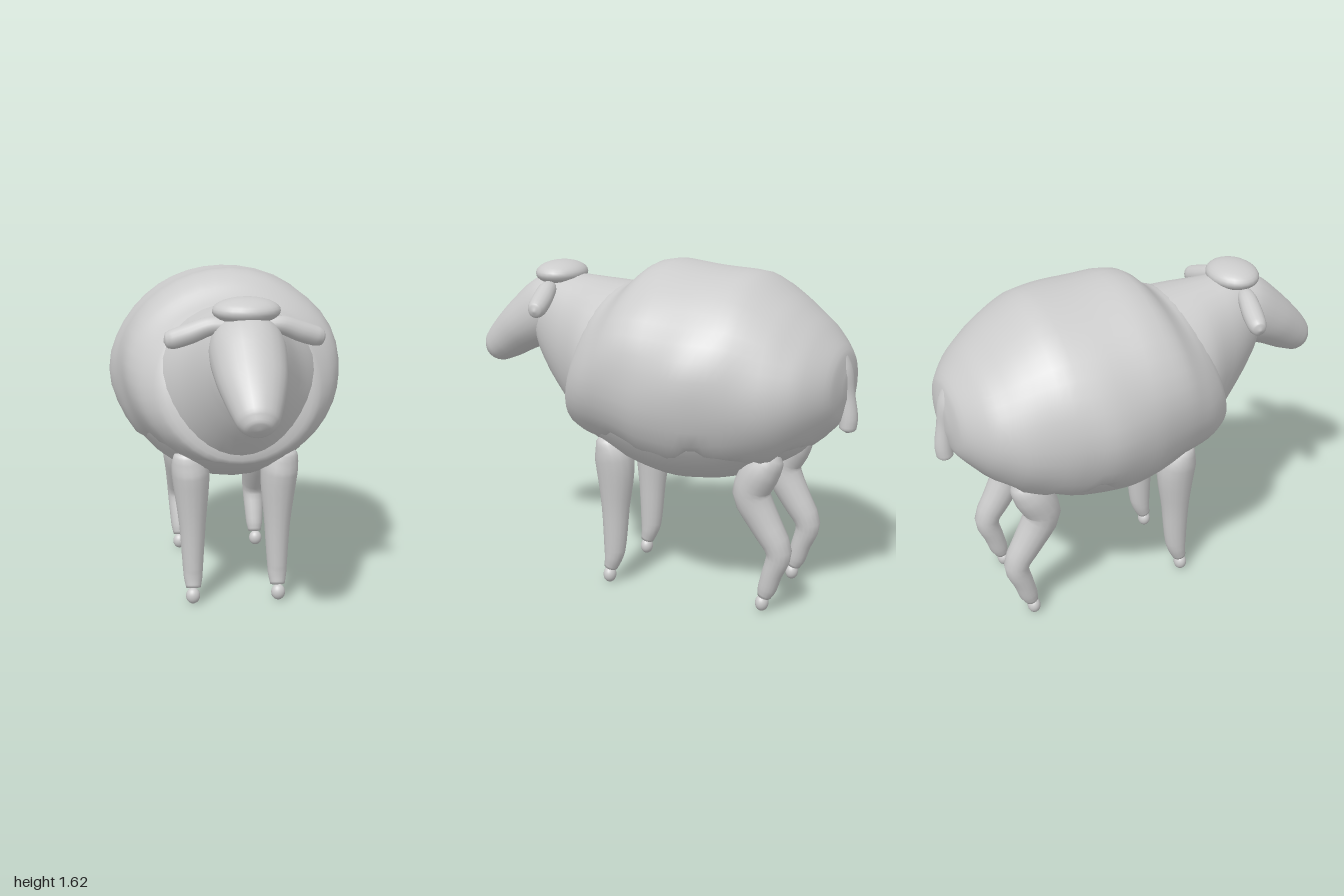
import * as THREE from 'three';

const material = new THREE.MeshStandardMaterial({ color: 0xcccccc });

function part(name, geometry) {
  const mesh = new THREE.Mesh(geometry, material);
  mesh.name = name;
  return mesh;
}

// Skins elliptical rings along a smooth path of stations [x, y, z, rSide, rOther].
// side: the direction of the first radius; dir: fixed ring normal; deform: moves each vertex.
function loft(stations, { steps = 24, sides = 20, side = [1, 0, 0], dir = null, deform = null } = {}) {
  const path = new THREE.CatmullRomCurve3(stations.map(s => new THREE.Vector3(s[0], s[1], s[2])));
  const radii = new THREE.CatmullRomCurve3(stations.map(s => new THREE.Vector3(s[3], s[4], 0)));
  const pos = [], index = [];
  const add = v => { if (deform) deform(v); pos.push(v.x, v.y, v.z); };
  for (let i = 0; i <= steps; i++) {
    const u = i / steps, c = path.getPoint(u), r = radii.getPoint(u);
    const t = dir ? new THREE.Vector3(...dir) : path.getTangent(u);
    const n = t.clone().cross(new THREE.Vector3(...side)).normalize();
    const s = n.clone().cross(t);
    for (let j = 0; j < sides; j++) {
      const a = j / sides * Math.PI * 2;
      add(c.clone().addScaledVector(s, Math.cos(a) * r.x).addScaledVector(n, Math.sin(a) * r.y));
    }
  }
  add(path.getPoint(0));
  add(path.getPoint(1));
  const first = (steps + 1) * sides, last = first + 1;
  for (let j = 0; j < sides; j++) {
    const k = (j + 1) % sides;
    for (let i = 0; i < steps; i++) {
      const a = i * sides + j, b = i * sides + k;
      index.push(a, b, a + sides, b, b + sides, a + sides);
    }
    index.push(first, k, j, last, steps * sides + j, steps * sides + k);
  }
  const g = new THREE.BufferGeometry();
  g.setAttribute('position', new THREE.Float32BufferAttribute(pos, 3));
  g.setIndex(index);
  g.computeVertexNormals();
  return g;
}

function ellipsoid(x, y, z, rx, ry, rz) {
  return new THREE.SphereGeometry(1, 24, 16).scale(rx, ry, rz).translate(x, y, z);
}

// Turns [z, bottom, top, halfWidth] into loft stations
const sections = rows => rows.map(([z, b, t, w]) => [0, (b + t) / 2, z, w, (t - b) / 2]);

// Uneven wool with a slanted front edge and a scalloped hem
function wool(v) {
  const { x, y, z } = v;
  const bump = 1 + 0.012 * Math.sin(11 * z + 5 * y) + 0.01 * Math.sin(13 * y - 7 * x + 3 * z) * Math.cos(9 * z);
  v.x *= bump;
  v.y = 1.1 + (y - 1.1) * bump;
  v.z += (1.15 - y) * 0.3 * THREE.MathUtils.clamp(z / 0.28, 0, 1);
  v.y = Math.max(v.y, 0.79 + 0.03 * Math.sin(15 * z + 1) + 0.015 * Math.sin(31 * z));
}

export function createModel() {
  const model = new THREE.Group();
  model.name = 'sheep';

  // Body with chest and neck
  model.add(part('body', loft(sections([
    [0.66, 1.2, 1.4, 0.08], [0.62, 1.08, 1.48, 0.15], [0.54, 0.95, 1.52, 0.2], [0.4, 0.8, 1.51, 0.28],
    [0.25, 0.69, 1.5, 0.39], [0, 0.6, 1.49, 0.48], [-0.2, 0.575, 1.5, 0.52], [-0.4, 0.595, 1.5, 0.51],
    [-0.6, 0.67, 1.45, 0.46], [-0.75, 0.76, 1.35, 0.37], [-0.88, 0.94, 1.2, 0.18],
  ]), { steps: 36, sides: 32, dir: [0, 0, -1] })));

  // Fleece over the back and flanks
  model.add(part('fleece', loft(sections([
    [0.35, 0.9, 1.36, 0.22], [0.3, 0.78, 1.49, 0.37], [0.2, 0.72, 1.51, 0.46], [0.08, 0.68, 1.57, 0.52],
    [-0.1, 0.6, 1.615, 0.56], [-0.3, 0.58, 1.61, 0.575], [-0.5, 0.6, 1.585, 0.54], [-0.7, 0.7, 1.48, 0.465],
    [-0.83, 0.82, 1.37, 0.37], [-0.93, 0.93, 1.25, 0.21], [-0.955, 1.03, 1.15, 0.07],
  ]), { steps: 48, sides: 40, dir: [0, 0, -1], deform: wool })));

  // Head, tapering down to the muzzle
  model.add(part('head', loft([
    [0, 1.4, 0.46, 0.1, 0.1], [0, 1.37, 0.52, 0.16, 0.15], [0, 1.33, 0.6, 0.172, 0.17], [0, 1.24, 0.75, 0.155, 0.137],
    [0, 1.15, 0.87, 0.118, 0.108], [0, 1.1, 0.935, 0.09, 0.082], [0, 1.08, 0.965, 0.055, 0.05], [0, 1.075, 0.972, 0.01, 0.01],
  ], { steps: 28, sides: 24 })));
  model.add(part('woolTuft', ellipsoid(0, 1.515, 0.545, 0.153, 0.06, 0.122)));

  // Tail hanging against the rump
  model.add(part('tail', loft([
    [0, 1.245, -0.89, 0.01, 0.01], [0, 1.225, -0.9, 0.055, 0.035], [0, 1.16, -0.925, 0.06, 0.04], [0, 1.05, -0.945, 0.04, 0.035],
    [0, 0.94, -0.955, 0.045, 0.043], [0, 0.89, -0.953, 0.045, 0.04], [0, 0.87, -0.95, 0.01, 0.01],
  ], { sides: 16 })));

  for (const [label, m] of [['left', 1], ['right', -1]]) {
    // Ears
    model.add(part(label + 'Ear', loft([
      [0.08, 1.45, 0.56, 0.03, 0.03], [0.16, 1.447, 0.54, 0.045, 0.042], [0.25, 1.412, 0.52, 0.05, 0.047],
      [0.32, 1.387, 0.505, 0.045, 0.045], [0.35, 1.38, 0.5, 0.032, 0.035], [0.363, 1.378, 0.498, 0.005, 0.005],
    ].map(([x, ...rest]) => [m * x, ...rest]), { side: [0, 0, 1], sides: 16 })));

    // Legs as [x, y, z, halfWidth, halfDepth], ending at the ankle
    const legs = {
      FrontLeg: [
        [0.23, 0.79, 0.18, 0.02, 0.02], [0.228, 0.76, 0.175, 0.075, 0.06], [0.217, 0.66, 0.15, 0.092, 0.098],
        [0.21, 0.4, 0.15, 0.065, 0.07], [0.21, 0.18, 0.157, 0.05, 0.054], [0.21, 0.13, 0.165, 0.046, 0.045],
        [0.21, 0.08, 0.18, 0.036, 0.034],
      ],
      HindLeg: [
        [0.22, 0.8, -0.68, 0.02, 0.02], [0.22, 0.77, -0.66, 0.07, 0.07], [0.22, 0.69, -0.61, 0.093, 0.092],
        [0.215, 0.59, -0.567, 0.09, 0.09], [0.21, 0.45, -0.632, 0.075, 0.077], [0.21, 0.31, -0.708, 0.06, 0.062],
        [0.21, 0.2, -0.678, 0.052, 0.05], [0.21, 0.12, -0.655, 0.045, 0.046], [0.21, 0.075, -0.64, 0.034, 0.033],
      ],
    };
    for (const [name, stations] of Object.entries(legs)) {
      model.add(part(label + name, loft(stations.map(([x, ...rest]) => [m * x, ...rest]), { sides: 16 })));
      const z = name === 'FrontLeg' ? 0.185 : -0.63;
      model.add(part(label + name + 'Hoof', ellipsoid(m * 0.213, 0.04, z, 0.035, 0.04, 0.032)));
    }
  }
  return model;
}
